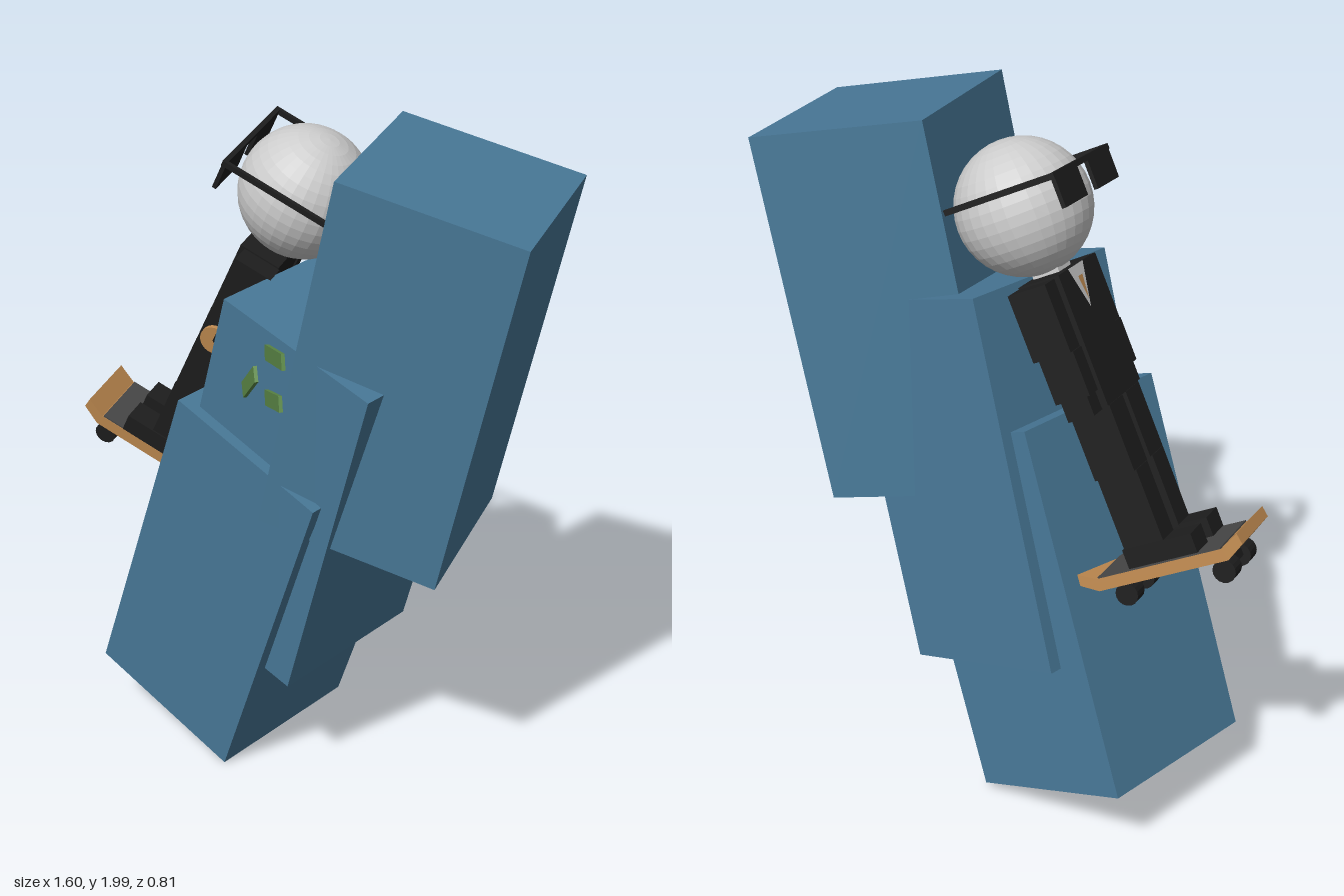
import * as THREE from 'three';

const V = (x, y, z) => new THREE.Vector3(x, y, z);
const flat = (name, color) => new THREE.MeshStandardMaterial({ name, color, flatShading: true });

export function createModel() {
  const blue = flat('steelBlue', 0x487897);
  const black = flat('suitBlack', 0x1e1e1e);
  const white = flat('paleGrey', 0xcccccc);
  const wood = flat('tanWood', 0xbf8a50);
  const grip = flat('gripGrey', 0x484848);
  const green = flat('leafGreen', 0x5f8c49);

  const model = new THREE.Group();
  model.name = 'blocksAndSkater';

  const add = (parent, name, geo, mat, x = 0, y = 0, z = 0) => {
    const mesh = new THREE.Mesh(geo, mat);
    mesh.name = name;
    mesh.position.set(x, y, z);
    parent.add(mesh);
    return mesh;
  };
  // box given by its low and high limits on each axis
  const span = (parent, name, mat, [x0, x1], [y0, y1], [z0, z1]) =>
    add(parent, name, new THREE.BoxGeometry(x1 - x0, y1 - y0, z1 - z0), mat,
      (x0 + x1) / 2, (y0 + y1) / 2, (z0 + z1) / 2);
  // turn an object so its x axis follows 'right' and its y axis leans to 'up'
  const orient = (obj, right, up) => {
    const x = right.clone().normalize();
    const z = x.clone().cross(up).normalize();
    const y = z.clone().cross(x);
    obj.quaternion.setFromRotationMatrix(new THREE.Matrix4().makeBasis(x, y, z));
    return obj;
  };

  // three large tilted blocks
  [
    ['upperBlock', V(0.356, 1.405, -0.07), V(0.506, -0.12, -0.13), V(0.243, 1.04, 0)],
    ['middleBlock', V(0.0245, 0.964, -0.074), V(0.505, -0.16, 0.05), V(0.317, 1.023, 0.078)],
    ['lowerBlock', V(-0.176, 0.6135, -0.0725), V(0.495, -0.19, 0.047), V(0.375, 1.005, 0.078)],
  ].forEach(([name, c, right, up]) =>
    orient(add(model, name, new THREE.BoxGeometry(0.533, 1.071, 0.533), blue, c.x, c.y, c.z), right, up));

  // green blades sticking out of the middle block
  [
    [V(0.045, 1.425, 0.21), V(0.235, 1.51, 0.398)],
    [V(-0.035, 1.29, 0.205), V(0.108, 1.425, 0.345)],
    [V(0.045, 1.29, 0.21), V(0.21, 1.375, 0.375)],
  ].forEach(([a, b]) => {
    const c = a.clone().add(b).multiplyScalar(0.5);
    const blade = add(model, 'greenBlade', new THREE.BoxGeometry(a.distanceTo(b), 0.044, 0.01), green, c.x, c.y, c.z);
    orient(blade, b.clone().sub(a), V(0, 1, 0));
  });

  // skater: origin at the head centre, facing local +z
  const skater = new THREE.Group();
  skater.name = 'skater';
  skater.position.set(-0.06, 1.765, -0.122);
  orient(skater, V(0.206, -0.125, 0.963), V(0.452, 0.886, 0.019));
  model.add(skater);

  add(skater, 'head', new THREE.SphereGeometry(0.188, 32, 20), white);

  // glasses
  span(skater, 'glassesBar', black, [-0.186, 0.186], [0.057, 0.073], [0.194, 0.208]);

  // torso with shirt front and tie
  span(skater, 'torso', black, [-0.11, 0.11], [-0.56, -0.19], [-0.045, 0.08]);
  span(skater, 'neck', white, [-0.04, 0.04], [-0.2, -0.16], [-0.03, 0.05]);
  const wedge = (w, top, tip) => new THREE.ShapeGeometry(
    new THREE.Shape([new THREE.Vector2(-w, top), new THREE.Vector2(0, tip), new THREE.Vector2(w, top)]));
  add(skater, 'shirtFront', wedge(0.05, -0.19, -0.31), white, 0, 0, 0.082);
  add(skater, 'tie', wedge(0.014, -0.22, -0.29), wood, 0, 0, 0.085);

  for (const s of [-1, 1]) {
    const side = (a, b) => (s > 0 ? [a, b] : [-b, -a]);
    span(skater, 'glassesArm', black, side(0.174, 0.186), [0.057, 0.073], [-0.13, 0.2]);
    span(skater, 'lens', black, side(0.035, 0.182), [-0.022, 0.065], [0.195, 0.207]);
    span(skater, 'upperArm', black, side(0.11, 0.172), [-0.385, -0.195], [-0.05, 0.065]);
    span(skater, 'forearm', black, side(0.112, 0.168), [-0.51, -0.385], [-0.035, 0.07]);
    span(skater, 'hand', black, side(0.108, 0.165), [-0.565, -0.51], [-0.02, 0.06]);
    span(skater, 'thigh', black, side(0.012, 0.106), [-0.75, -0.56], [-0.04, 0.082]);
    span(skater, 'shin', black, side(0.02, 0.1), [-0.96, -0.75], [-0.035, 0.085]);
    span(skater, 'shoe', black, side(0.022, 0.104), [-1.012, -0.955], [-0.04, 0.17]);
  }

  // wrist watch on the left arm
  const watch = new THREE.Group();
  watch.name = 'watch';
  watch.position.set(0.172, -0.475, 0.02);
  watch.rotation.y = Math.PI / 2;
  skater.add(watch);
  add(watch, 'watchFace', new THREE.CylinderGeometry(0.043, 0.043, 0.02, 20).rotateX(Math.PI / 2), wood);
  add(watch, 'minuteHand', new THREE.BoxGeometry(0.005, 0.028, 0.004), black, 0, 0.014, 0.012);
  add(watch, 'hourHand', new THREE.BoxGeometry(0.022, 0.005, 0.004), black, 0.011, 0, 0.012);

  // skateboard deck with raised ends
  const deck = new THREE.Shape([
    [-0.195, -0.988], [-0.14, -1.014], [0.243, -1.014], [0.3, -0.983],
    [0.305, -1.015], [0.25, -1.049], [-0.147, -1.049], [-0.2, -1.02],
  ].map(([x, y]) => new THREE.Vector2(x, y)));
  const deckGeo = new THREE.ExtrudeGeometry(deck, { depth: 0.213, bevelEnabled: false });
  deckGeo.rotateY(-Math.PI / 2).translate(0.1025, 0, 0);
  add(skater, 'skateboardDeck', deckGeo, wood);
  span(skater, 'gripTape', grip, [-0.109, 0.101], [-1.014, -1.01], [-0.138, 0.24]);

  // trucks and wheels
  for (const z of [0.217, -0.083]) {
    span(skater, 'truck', black, [-0.05, 0.045], [-1.085, -1.045], [z - 0.012, z + 0.012]);
    for (const x of [-0.065, 0.06]) {
      add(skater, 'wheel', new THREE.CylinderGeometry(0.033, 0.033, 0.05, 16).rotateZ(Math.PI / 2), black, x, -1.082, z);
    }
  }
  return model;
}
